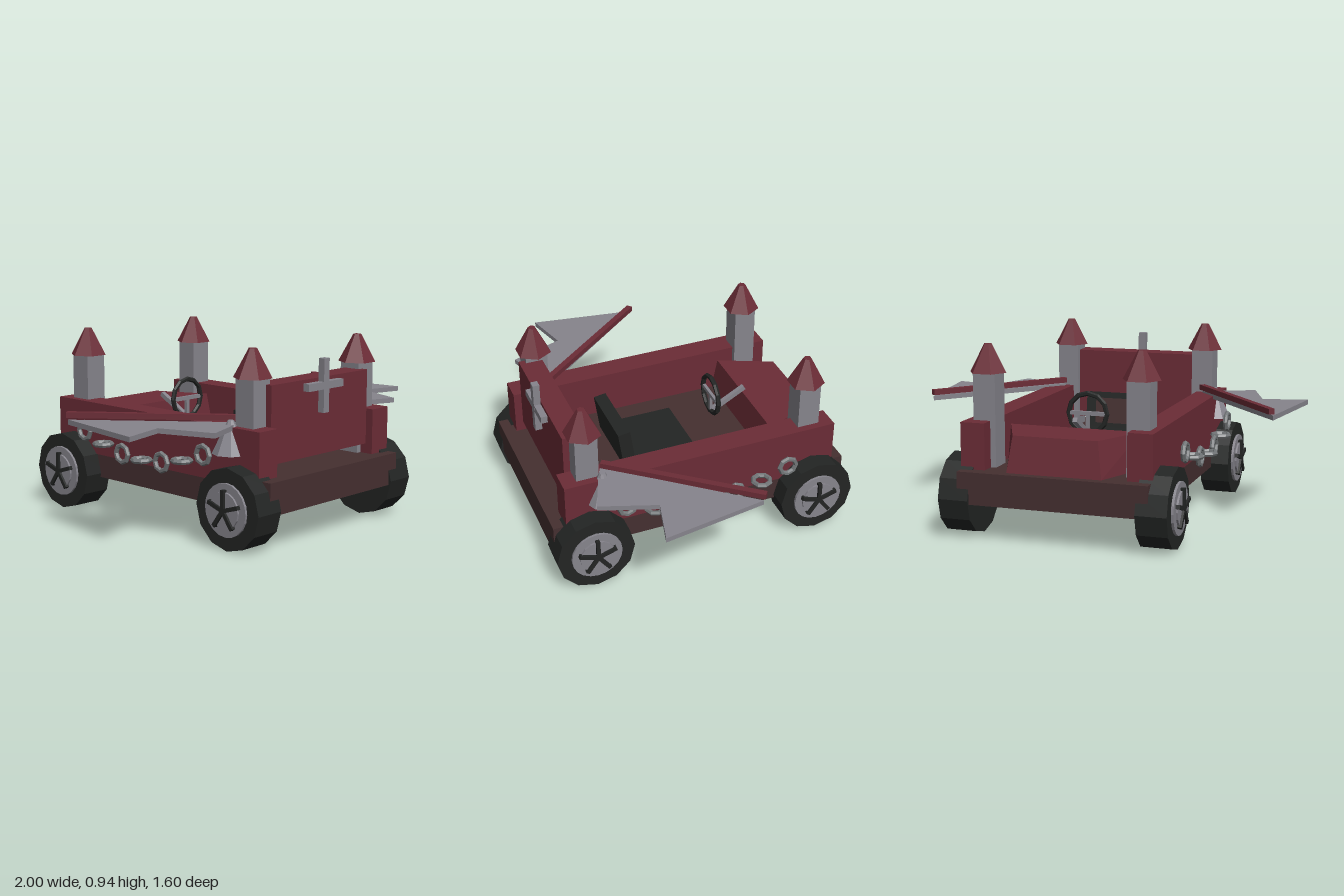
import * as THREE from 'three';

const mat = (name, color) => {
  const m = new THREE.MeshStandardMaterial({ color, flatShading: true });
  m.name = name;
  return m;
};

export function createModel() {
  const red = mat('dark red', 0x6b2c36);
  const brown = mat('dark brown', 0x452f30);
  const grey = mat('stone grey', 0x86848c);
  const steel = mat('chain steel', 0x727678);
  const black = mat('black', 0x232524);

  const car = new THREE.Group();
  car.name = 'castleCar';

  const add = (name, geometry, material, x = 0, y = 0, z = 0, parent = car) => {
    const mesh = new THREE.Mesh(geometry, material);
    mesh.name = name;
    mesh.position.set(x, y, z);
    parent.add(mesh);
    return mesh;
  };
  // Box given by its minimum and maximum corners
  const block = (name, material, x0, x1, y0, y1, z0, z1, parent = car) =>
    add(name, new THREE.BoxGeometry(x1 - x0, y1 - y0, z1 - z0), material,
      (x0 + x1) / 2, (y0 + y1) / 2, (z0 + z1) / 2, parent);

  // Body
  block('chassis', brown, -0.48, 0.48, 0.18, 0.34, -0.785, 0.785);
  for (const s of [-1, 1]) {
    const wall = block('sideWall', red, 0.36, 0.485, 0.3, 0.57, -0.72, 0.72);
    wall.position.x *= s;
  }
  block('endPanel', red, -0.36, 0.36, 0.39, 0.77, 0.56, 0.68);
  block('crossUpright', grey, -0.02, 0.02, 0.6, 0.865, 0.68, 0.715);
  block('crossArm', grey, -0.13, 0.13, 0.715, 0.752, 0.68, 0.714);

  // Hood: a box narrowed towards -z and towards the top
  const hood = new THREE.BoxGeometry(1, 1, 1);
  const p = hood.attributes.position;
  for (let i = 0; i < p.count; i++) {
    const top = p.getY(i) > 0, wide = p.getZ(i) > 0;
    const halfWidth = (wide ? 0.365 : 0.24) - (top ? 0.025 : 0);
    p.setXYZ(i, Math.sign(p.getX(i)) * halfWidth, top ? 0.52 : 0.34,
      wide ? (top ? -0.435 : -0.415) : (top ? -0.715 : -0.74));
  }
  hood.computeVertexNormals();
  add('hood', hood, red);

  // Corner towers with six-sided roofs
  for (const x of [-0.39, 0.39]) {
    for (const z of [-0.59, 0.59]) {
      add('tower', new THREE.BoxGeometry(0.115, 0.46, 0.115), grey, x, 0.57, z);
      const roof = add('towerRoof', new THREE.CylinderGeometry(0.02, 0.095, 0.14, 6), red, x, 0.87, z);
      roof.rotation.y = Math.PI / 2;
    }
  }

  // Seat with a reclined back
  block('seatCushion', black, -0.185, 0.185, 0.355, 0.395, -0.085, 0.3);
  const back = new THREE.Group();
  back.name = 'seatBack';
  back.position.set(0, 0.38, 0.275);
  back.rotation.x = 0.14;
  car.add(back);
  block('backrest', black, -0.185, 0.185, 0, 0.2, -0.03, 0.035, back);
  block('backrestPad', brown, -0.13, 0.13, 0.035, 0.17, -0.037, -0.03, back);

  // Steering wheel
  add('steeringRim', new THREE.TorusGeometry(0.102, 0.013, 6, 12), black, 0, 0.56, -0.247);
  block('steeringBar', grey, -0.095, 0.095, 0.55, 0.57, -0.255, -0.239);
  block('steeringStem', grey, -0.01, 0.01, 0.465, 0.56, -0.255, -0.239);
  const column = add('steeringColumn', new THREE.BoxGeometry(0.024, 0.024, 0.21), grey, 0, 0.51, -0.345);
  column.rotation.x = 0.5;

  // Wheels, modelled with the outer face towards +x
  for (const s of [-1, 1]) {
    for (const z of [-0.6, 0.6]) {
      const wheel = new THREE.Group();
      wheel.name = 'wheel';
      wheel.position.set(s * 0.4975, 0.2, z);
      if (s < 0) wheel.rotation.y = Math.PI;
      car.add(wheel);
      const disc = (name, material, r, x0, x1, sides) => {
        const geometry = new THREE.CylinderGeometry(r, r, x1 - x0, sides).rotateZ(Math.PI / 2);
        add(name, geometry, material, (x0 + x1) / 2, 0, 0, wheel);
      };
      disc('tyre', black, 0.2, -0.0775, 0.0775, 12);
      disc('hubPlate', grey, 0.13, 0.07, 0.09, 20);
      disc('hubCap', grey, 0.09, 0.085, 0.1, 16);
      for (let i = 0; i < 5; i++) {
        const spoke = new THREE.BoxGeometry(0.024, 0.1, 0.02).translate(0, 0.05, 0);
        add('spoke', spoke, black, 0.1, 0, 0, wheel).rotation.x = i * Math.PI * 0.4;
      }
    }
  }

  // Hanging chains: links alternate between upright and flat
  const linkHeights = [0.345, 0.355, 0.385, 0.435];
  for (const s of [-1, 1]) {
    for (let i = -3; i <= 3; i++) {
      const link = add('chainLink', new THREE.TorusGeometry(0.044, 0.013, 6, 8), steel,
        s * 0.56, linkHeights[Math.abs(i)], i * 0.143);
      if (i % 2) link.rotation.y = Math.PI / 2;
      else link.rotation.x = Math.PI / 2;
    }
  }

  // Swept flags on poles, with a cone bracket under each
  for (const s of [-1, 1]) {
    const corners = [[0.4, 0.51], [0.92, -0.12], [1, 0.405], [0.77, 0.345], [0.672, 0.62], [0.46, 0.54]];
    const shape = new THREE.Shape(corners.map(([x, z]) => new THREE.Vector2(s * x, z)));
    const flag = new THREE.ExtrudeGeometry(shape, { depth: 0.025, bevelEnabled: false });
    add('flag', flag.rotateX(Math.PI / 2), grey, 0, 0.58, 0);
    const from = new THREE.Vector3(s * 0.4, 0.602, 0.505);
    const to = new THREE.Vector3(s * 0.915, 0.602, -0.135);
    const pole = add('flagPole', new THREE.BoxGeometry(0.032, 0.028, from.distanceTo(to)), red);
    pole.position.copy(from).lerp(to, 0.5);
    pole.lookAt(to);
    add('flagBracket', new THREE.CylinderGeometry(0.015, 0.09, 0.16, 8), grey, s * 0.465, 0.52, 0.52);
  }

  return car;
}
